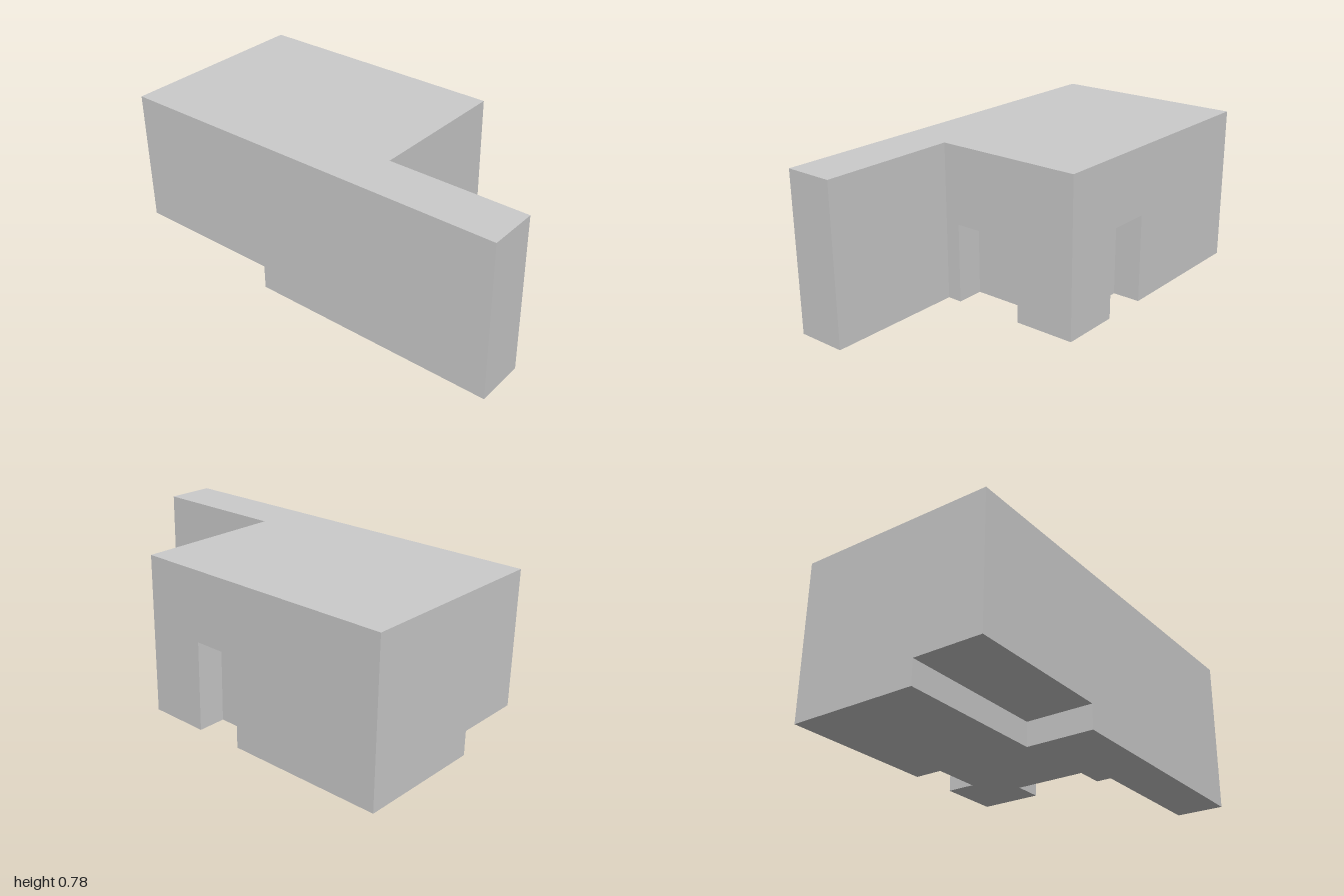
import * as THREE from 'three';

const FRONT = 0.49, BACK = -0.49, LEFT = 1, RIGHT = -1;
const WING = { x: 0.31, z: 0.245 };                                   // inner corner of the L
const UNDERCUT = { x: -0.24, z: 0.15, top: 0.12 };
const SIDE = { z0: -0.185, z1: 0.17, depth: 0.14, top: 0.395 };       // doorway facing +x
const REAR = { x0: -0.23, x1: 0.01, depth: 0.14, top: 0.44 };         // doorway facing -z
const TOP = 0.78;

// Footprint [x, z] of the block at height y, running round from the front
function footprint(y) {
  const sideX = WING.x - SIDE.depth, rearZ = BACK + REAR.depth;
  return [
    ...(y < UNDERCUT.top
      ? [[RIGHT, UNDERCUT.z], [UNDERCUT.x, UNDERCUT.z], [UNDERCUT.x, FRONT]]
      : [[RIGHT, FRONT]]),
    [LEFT, FRONT], [LEFT, WING.z], [WING.x, WING.z],
    ...(y < SIDE.top
      ? [[WING.x, SIDE.z1], [sideX, SIDE.z1], [sideX, SIDE.z0], [WING.x, SIDE.z0]] : []),
    [WING.x, BACK],
    ...(y < REAR.top
      ? [[REAR.x1, BACK], [REAR.x1, rearZ], [REAR.x0, rearZ], [REAR.x0, BACK]] : []),
    [RIGHT, BACK],
  ];
}

const rect = (x0, x1, z0, z1) => [[x0, z1], [x1, z1], [x1, z0], [x0, z0]];

// Upright walls along a closed outline
function wallGeometry(outline, y0, y1) {
  const pos = [];
  outline.forEach(([ax, az], i) => {
    const [bx, bz] = outline[(i + 1) % outline.length];
    pos.push(ax, y0, az, bx, y0, bz, bx, y1, bz, ax, y0, az, bx, y1, bz, ax, y1, az);
  });
  const g = new THREE.BufferGeometry();
  g.setAttribute('position', new THREE.Float32BufferAttribute(pos, 3));
  g.computeVertexNormals();
  return g;
}

// Level surface facing up or down
function levelGeometry(outline, y, up) {
  const s = up ? 1 : -1;
  const shape = new THREE.Shape(outline.map(([x, z]) => new THREE.Vector2(x, -s * z)));
  return new THREE.ShapeGeometry(shape).rotateX(-s * Math.PI / 2).translate(0, y, 0);
}

export function createModel() {
  const model = new THREE.Group();
  model.name = 'building';
  const material = new THREE.MeshStandardMaterial({ color: 0xcccccc, flatShading: true });
  const add = (name, geometry) => {
    const mesh = new THREE.Mesh(geometry, material);
    mesh.name = name;
    model.add(mesh);
  };

  // Walls, one band between each change of footprint
  const levels = [0, UNDERCUT.top, SIDE.top, REAR.top, TOP];
  for (let i = 0; i < levels.length - 1; i++) {
    add(`wallBand${i + 1}`, wallGeometry(footprint(levels[i]), levels[i], levels[i + 1]));
  }

  // Roof and underside
  add('roof', levelGeometry(footprint(TOP), TOP, true));
  add('floor', levelGeometry(footprint(0), 0, false));

  // Ceilings of the undercut and the two doorways
  add('undercutCeiling',
    levelGeometry(rect(RIGHT, UNDERCUT.x, UNDERCUT.z, FRONT), UNDERCUT.top, false));
  add('sideDoorwayCeiling',
    levelGeometry(rect(WING.x - SIDE.depth, WING.x, SIDE.z0, SIDE.z1), SIDE.top, false));
  add('rearDoorwayCeiling',
    levelGeometry(rect(REAR.x0, REAR.x1, BACK, BACK + REAR.depth), REAR.top, false));

  return model;
}
